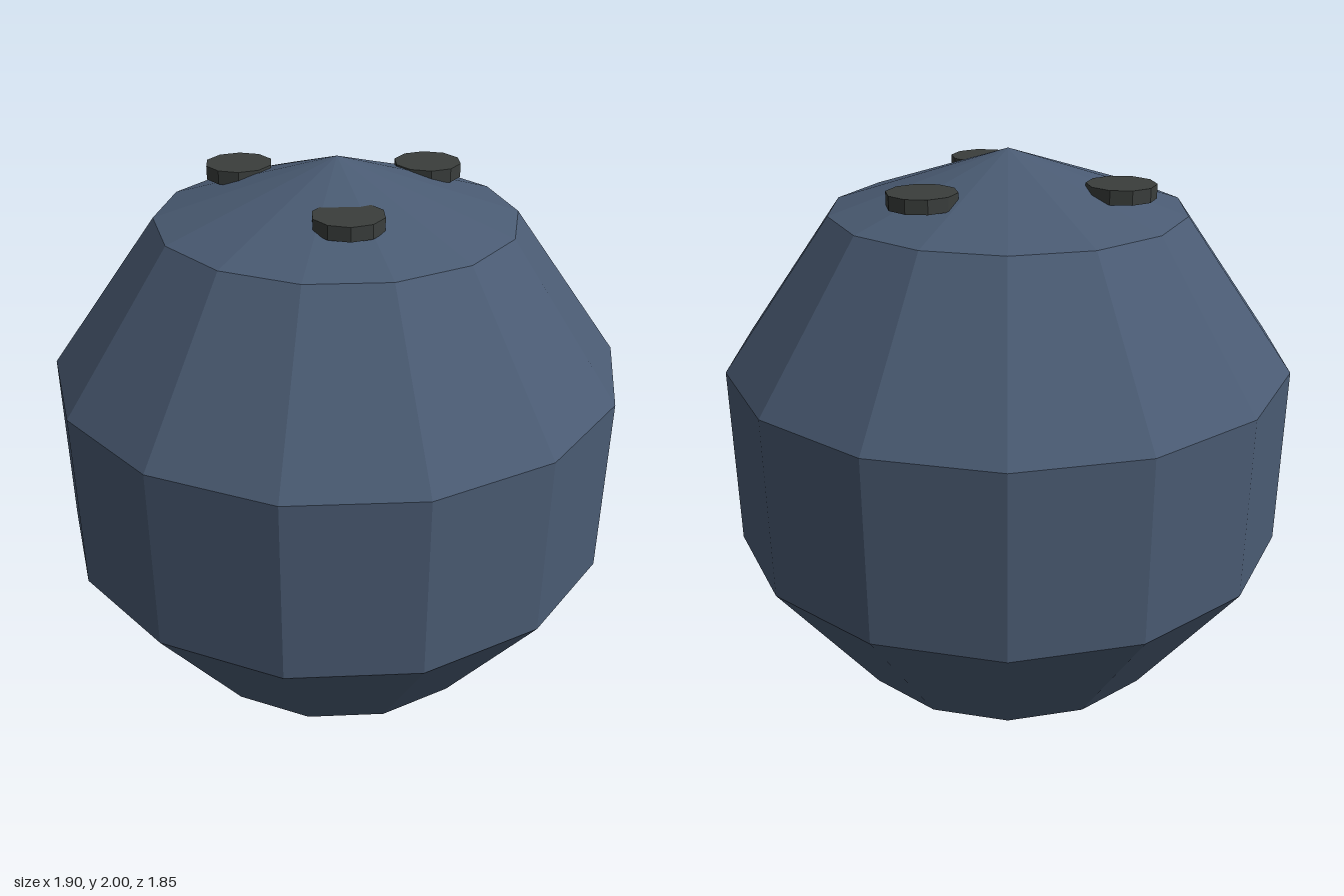
import * as THREE from 'three';

export function createModel() {
  const group = new THREE.Group();
  const bodyBlue = new THREE.MeshStandardMaterial({ name: 'slateBlue', color: 0x4a5b73, flatShading: true });
  const darkGrey = new THREE.MeshStandardMaterial({ name: 'darkGrey', color: 0x3a3e3c, flatShading: true });

  // Low-poly ball standing on the ground
  const ball = new THREE.Mesh(new THREE.SphereGeometry(1, 14, 5), bodyBlue);
  ball.name = 'ball';
  ball.position.y = 1;
  group.add(ball);

  // Three finger-hole discs set into the cap
  const discGeometry = new THREE.CylinderGeometry(0.112, 0.112, 0.045, 10);
  const discs = [
    ['thumbHole', 0.017, 0.312],
    ['leftFingerHole', 0.313, -0.2],
    ['rightFingerHole', -0.313, -0.22],
  ];
  for (const [name, x, z] of discs) {
    const disc = new THREE.Mesh(discGeometry, darkGrey);
    disc.name = name;
    disc.position.set(x, 1.895, z);
    group.add(disc);
  }
  return group;
}
